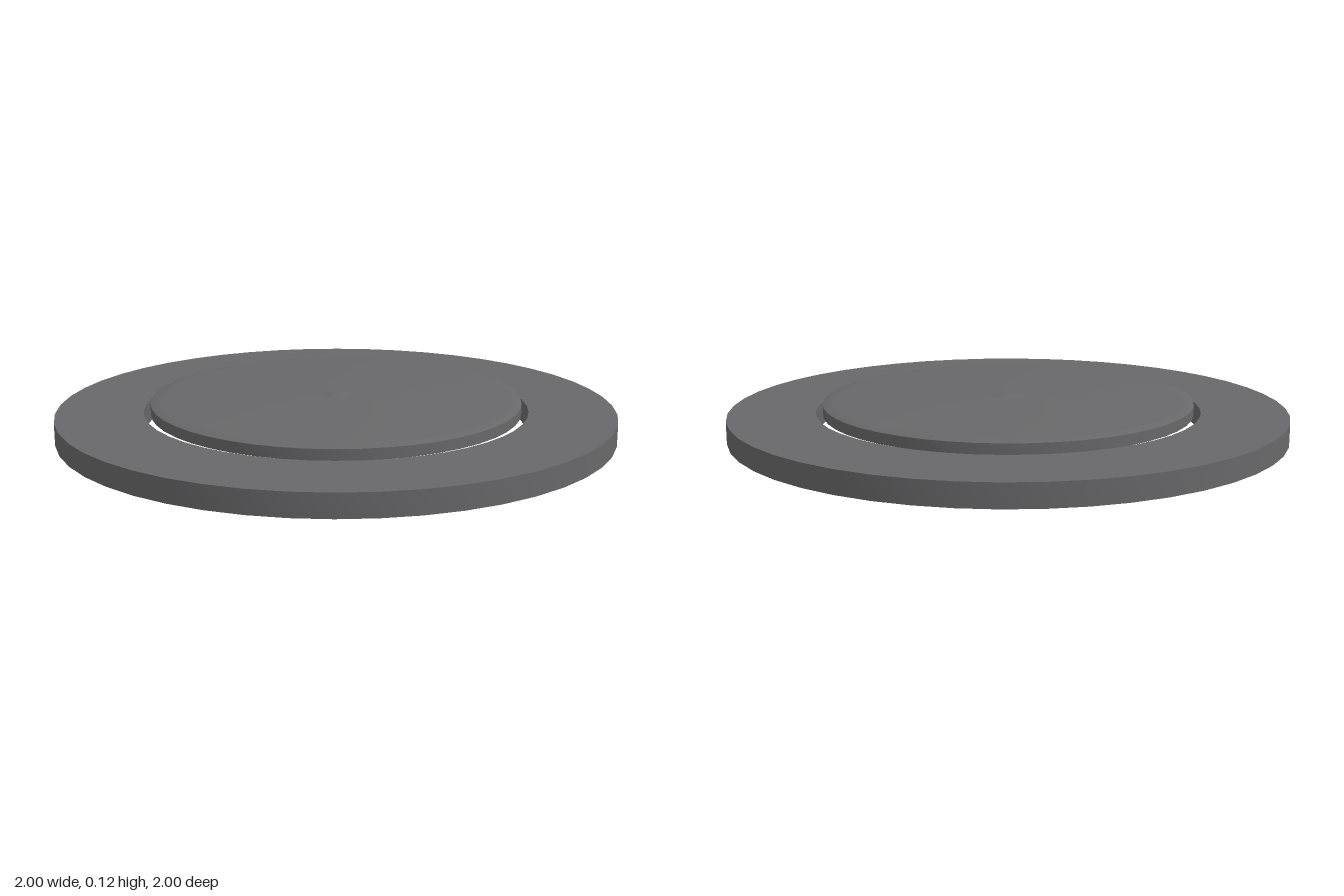
import * as THREE from 'three';
import { toCreasedNormals } from 'three/addons/utils/BufferGeometryUtils.js';

const SEGMENTS = 48;

// Revolve a [radius, height] profile, keeping sharp edges crisp
function turned(name, profile, material) {
  const points = profile.map(([r, y]) => new THREE.Vector2(r, y));
  const geometry = toCreasedNormals(new THREE.LatheGeometry(points, SEGMENTS), 0.7);
  const mesh = new THREE.Mesh(geometry, material);
  mesh.name = name;
  return mesh;
}

export function createModel() {
  const group = new THREE.Group();
  group.name = 'ringAndDisc';
  const grey = new THREE.MeshStandardMaterial({ color: 0x68686a });
  grey.name = 'dark grey';

  // Flat outer ring with a square section
  group.add(turned('outerRing', [
    [0.69, 0], [1, 0], [1, 0.08], [0.69, 0.08], [0.69, 0],
  ], grey));

  // Raised inner disc with a softened rim and a tiny central bump
  group.add(turned('innerDisc', [
    [0, 0.072], [0.665, 0.072], [0.665, 0.11], [0.65, 0.115], [0.62, 0.119],
    [0.06, 0.119], [0.04, 0.12], [0.018, 0.124], [0, 0.124],
  ], grey));

  return group;
}
